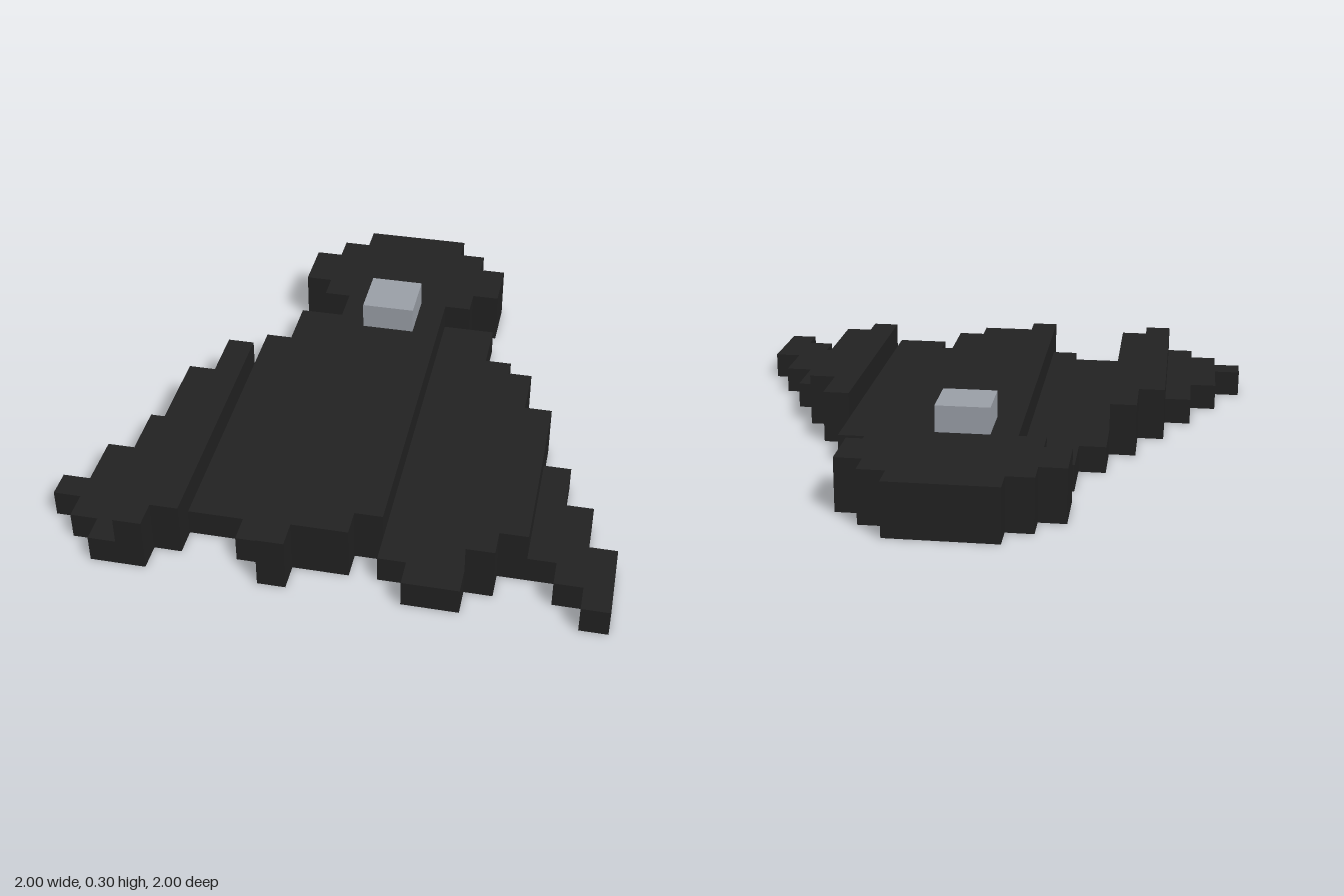
import * as THREE from 'three';

const U = 0.1; // size of one block

// Flat stepped slab: columns of [start z, end z] in blocks, one block wide, from x0 on
function steppedSlab(name, x0, columns, height, material) {
  const pts = [];
  const add = (x, z) => pts.push(new THREE.Vector2(x * U, -z * U));
  columns.forEach(([, end], i) => {
    add(x0 + i, end);
    add(x0 + i + 1, end);
  });
  for (let i = columns.length - 1; i >= 0; i--) {
    add(x0 + i + 1, columns[i][0]);
    add(x0 + i, columns[i][0]);
  }
  // drop points that repeat or lie on a straight run
  const clean = pts.filter((p, i) => !p.equals(pts[(i + 1) % pts.length]));
  const corners = clean.filter((p, i) => {
    const a = clean[(i + clean.length - 1) % clean.length];
    const b = clean[(i + 1) % clean.length];
    return Math.abs((p.x - a.x) * (b.y - p.y) - (p.y - a.y) * (b.x - p.x)) > 1e-6;
  });
  const geometry = new THREE.ExtrudeGeometry(new THREE.Shape(corners), {
    depth: height * U, bevelEnabled: false,
  });
  geometry.rotateX(-Math.PI / 2);
  const mesh = new THREE.Mesh(geometry, material);
  mesh.name = name;
  return mesh;
}

export function createModel() {
  const model = new THREE.Group();
  model.name = 'cape';
  const cloth = new THREE.MeshStandardMaterial({ color: 0x222222 });
  cloth.name = 'black cloth';
  const metal = new THREE.MeshStandardMaterial({ color: 0x9ca1a9 });
  metal.name = 'grey clasp';

  // Where each column begins, counted outwards from the middle
  const starts = [-5, -5, -5, -5, -3, -1, 1, 3, 5, 7];
  // Ragged hem, from x = -10 to x = 9
  const hem = [8, 9, 10, 10, 9, 8, 8, 9, 10, 9, 9, 8, 9, 10, 10, 9, 8, 8, 9, 10];
  const columns = hem.map((end, i) => [starts[i < 10 ? 9 - i : i - 10], end]);

  // Raised and lowered folds: [name, first x, last x, height]
  const folds = [
    ['rightOuterFold', -10, -7, 1],
    ['rightRidge', -7, -5, 2],
    ['rightInnerFold', -5, -2, 1],
    ['centreRidge', -2, 2, 2],
    ['leftInnerFold', 2, 5, 1],
    ['leftRidge', 5, 7, 2],
    ['leftOuterFold', 7, 10, 1],
  ];
  for (const [name, a, b, height] of folds) {
    model.add(steppedSlab(name, a, columns.slice(a + 10, b + 10), height, cloth));
  }

  // Collar at the back end
  const half = [[-10, -5], [-10, -5], [-9, -5], [-8, -6]];
  model.add(steppedSlab('collar', -4, [...half].reverse().concat(half), 2, cloth));

  // Clasp block
  const clasp = new THREE.Mesh(new THREE.BoxGeometry(2 * U, U, 2 * U), metal);
  clasp.name = 'clasp';
  clasp.position.set(0, 2.5 * U, -4 * U);
  model.add(clasp);

  return model;
}
